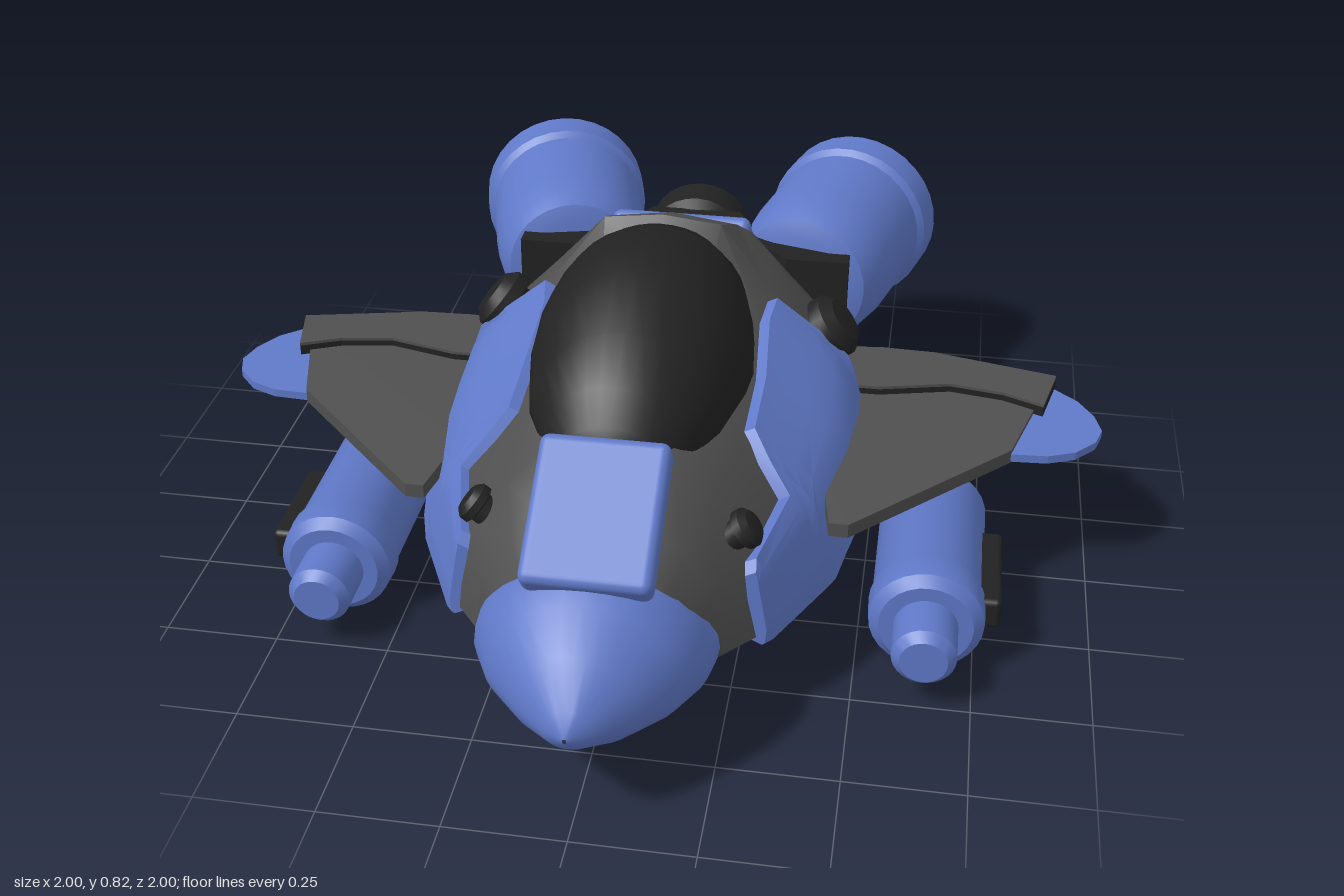
import * as THREE from 'three';
import { toCreasedNormals } from 'three/addons/utils/BufferGeometryUtils.js';
import { RoundedBoxGeometry } from 'three/addons/geometries/RoundedBoxGeometry.js';

const mat = (name, color) => Object.assign(new THREE.MeshStandardMaterial({ color }), { name });

// Surface through rows of points; rows run front to back, points run top to +x to bottom
function grid(rows, crease = 0.6) {
  const n = rows[0].length, idx = [];
  for (let i = 0; i < rows.length - 1; i++)
    for (let j = 0; j < n - 1; j++) {
      const a = i * n + j, b = a + 1, c = a + n, d = c + 1;
      idx.push(a, b, c, b, d, c);
    }
  const g = new THREE.BufferGeometry();
  g.setAttribute('position', new THREE.Float32BufferAttribute(rows.flat(2), 3));
  g.setIndex(idx);
  return toCreasedNormals(g, crease);
}

// Copy of a geometry on the other side, with its winding kept outward
function mirrored(geo) {
  const g = geo.index ? geo.toNonIndexed() : geo.clone();
  for (const key of ['position', 'normal']) {
    const at = g.attributes[key];
    for (let i = 0; i < at.count; i += 3) {
      const p = [0, 2, 1].map(k => [-at.getX(i + k), at.getY(i + k), at.getZ(i + k)]);
      p.forEach((v, k) => at.setXYZ(i + k, ...v));
    }
  }
  return g;
}

// Lathe whose profile of [radius, distance] runs toward the rear
const lathe = (pts, sides = 28) => toCreasedNormals(
  new THREE.LatheGeometry(pts.map(p => new THREE.Vector2(...p)), sides), 0.6).rotateX(-Math.PI / 2);

// Flat plate from [x, z] outline between two heights
function plate(pts, y0, y1) {
  const s = new THREE.Shape(pts.map(([x, z]) => new THREE.Vector2(x, -z)));
  return new THREE.ExtrudeGeometry(s, { depth: y1 - y0, bevelEnabled: false })
    .rotateX(-Math.PI / 2).translate(0, y0, 0);
}

// Hull stations: z, top y, ridge x y, shoulder x y, widest x y, bottom y
const STATIONS = [
  [.79, .43, .06, .42, .11, .39, .13, .30, .25],
  [.66, .52, .10, .51, .17, .46, .25, .22, .14],
  [.52, .59, .12, .58, .21, .49, .35, .20, .12],
  [.30, .60, .14, .59, .23, .51, .44, .20, .10],
  [.10, .62, .14, .61, .245, .52, .48, .21, .10],
  [-.05, .70, .12, .68, .235, .58, .485, .23, .10],
  [-.14, .785, .13, .77, .25, .61, .47, .25, .105],
  [-.28, .725, .15, .705, .27, .58, .42, .30, .13],
  [-.42, .64, .17, .62, .25, .53, .33, .34, .23],
  [-.50, .56, .12, .54, .17, .49, .21, .40, .31],
  [-.53, .46, .03, .455, .05, .44, .06, .42, .39],
];

// Half cross-section of the hull at z, as [x, y] from top to bottom
function section(z) {
  let i = 0;
  while (i < STATIONS.length - 2 && z < STATIONS[i + 1][0]) i++;
  const A = STATIONS[i], B = STATIONS[i + 1], f = (z - A[0]) / (B[0] - A[0]);
  const [, yt, a, ya, b, yb, w, yw, y0] = A.map((v, k) => v + (B[k] - v) * f);
  return [[0, yt], [a, ya], [b, yb], [(b + w) / 2 + w * .1, (yb + yw) / 2 + w * .05],
    [w, yw], [w * .86, yw - (yw - y0) * .35], [w * .45, y0 + (yw - y0) * .15], [0, y0]];
}

function hullGeometry() {
  return grid(STATIONS.map(([z]) => {
    const h = section(z);
    const other = h.slice(0, -1).reverse().map(([x, y]) => [-x, y]);
    return [...h, ...other].map(([x, y]) => [x, y, z]);
  }), 0.75);
}

// Raised side armour following the hull
function sidePanelGeometry() {
  const edge = [[.58, 3], [.56, 2.85], [.37, 2.75], [.33, 2.35], [.28, 2.05], [.1, 1.97],
    [-.05, 1.97], [-.11, 1.97], [-.14, 2.8], [-.19, 3.3]];
  const row = (z, top, lift) => {
    const h = section(z), out = [];
    for (let k = -1; k <= 9; k++) {
      const t = top + (4.25 - top) * Math.min(Math.max(k, 0), 8) / 8;
      const i = Math.floor(t), f = t - i, e = k < 0 || k > 8 ? -.01 : lift;
      const x = h[i][0] + (h[i + 1][0] - h[i][0]) * f, y = h[i][1] + (h[i + 1][1] - h[i][1]) * f;
      out.push([x + e, y + e * .5 * (t < 4 ? 1 : -1), z]);
    }
    return out;
  };
  const first = edge[0], last = edge[edge.length - 1];
  return grid([row(...first, -.01), ...edge.map(([z, t]) => row(z, t, .022)), row(...last, -.01)]);
}

// Loft of ellipses: z, half width, bottom y, widest y, top y
function ovals(list, sides = 32) {
  return grid(list.map(([z, w, lo, mid, hi]) => Array.from({ length: sides + 1 }, (_, j) => {
    const a = j / sides * Math.PI * 2, c = Math.cos(a);
    return [w * Math.sin(a), mid + c * (c > 0 ? hi - mid : mid - lo), z];
  })), 0.8);
}

export function createModel() {
  const blue = mat('blue paint', 0x6079c8), grey = mat('grey hull', 0x505050), black = mat('black trim', 0x222222);
  const model = new THREE.Group();
  model.name = 'spacecraft';
  const add = (name, geo, m) => {
    const mesh = new THREE.Mesh(geo, m);
    mesh.name = name;
    model.add(mesh);
  };
  const pair = (name, geo, m) => {
    add(name + 'Left', geo, m);
    add(name + 'Right', mirrored(geo), m);
  };

  // Fuselage, nose and canopy
  add('hull', hullGeometry(), grey);
  pair('sidePanel', sidePanelGeometry(), blue);
  add('nose', ovals([[1, .004, .25, .255, .26], [.97, .05, .21, .25, .3], [.9, .125, .16, .25, .37],
    [.82, .195, .13, .25, .435], [.74, .235, .11, .25, .46], [.66, .245, .1, .24, .41],
    [.58, .24, .1, .22, .32], [.56, .2, .12, .2, .28], [.55, .01, .19, .2, .21]]), blue);
  add('canopy', ovals([[.525, .06, .52, .55, .6], [.51, .11, .5, .55, .63], [.45, .155, .5, .55, .69],
    [.35, .2, .5, .55, .755], [.2, .232, .5, .55, .815], [.12, .238, .5, .55, .83],
    [.02, .228, .52, .57, .818], [-.06, .2, .55, .62, .795], [-.12, .14, .6, .68, .772], [-.14, .02, .7, .72, .74]]), black);

  // Blue plates ahead of and behind the cockpit
  add('nosePlate', new RoundedBoxGeometry(.26, .07, .31, 3, .02).rotateX(.6).translate(0, .525, .66), blue);
  add('rearPlate', new RoundedBoxGeometry(.33, .07, .2, 3, .02).rotateX(-.72).translate(0, .565, -.48), blue);

  // Wings with rounded tips and thick trailing flaps
  pair('wing', plate([[.4, -.25], [.88, -.25], [.8, .04], [.47, .38], [.43, .38], [.4, .2]], .332, .364), grey);
  pair('wingTip', plate([[.7, -.25], [.9, -.255], [.95, -.21], [.985, -.15], [1, -.09], [.985, -.04],
    [.94, .01], [.88, .035], [.8, .04], [.7, -.02]], .335, .354), blue);
  const flap = [[.36, -.32], [.5, -.335], [.62, -.33], [.9, -.265], [.87, -.13], [.78, -.17], [.66, -.19], [.5, -.15], [.4, -.15]];
  pair('flap', plate(flap, .32, .378), black);
  pair('flapTop', plate(flap, .378, .385), grey);

  // Underwing pods on pylons
  pair('pod', lathe([[0, 0], [.05, 0], [.068, .02], [.068, .12], [.1, .12], [.122, .14], [.125, .2], [.118, .215],
    [.118, .55], [.1, .585], [0, .59]]).translate(.645, .13, .51), blue);
  pair('podBlock', new RoundedBoxGeometry(.12, .07, .26, 2, .012).translate(.74, .135, .205), black);
  const side = new THREE.Shape([[.03, .335], [.03, .27], [-.04, .23], [-.07, .15], [-.13, .12], [-.23, .13],
    [-.26, .2], [-.27, .335]].map(p => new THREE.Vector2(...p)));
  pair('pylon', new THREE.ExtrudeGeometry(side, { depth: .1, bevelEnabled: true, bevelSize: .01, bevelThickness: .025, bevelSegments: 1 })
    .rotateY(-Math.PI / 2).translate(.7, 0, 0), black);

  // Engines flared outward, with open nozzles and inner spikes
  pair('engine', lathe([[0, 0], [.12, 0], [.16, .015], [.18, .06], [.19, .14], [.193, .35], [.207, .365], [.207, .45],
    [.185, .452], [.175, .38], [.165, .27], [.11, .26], [.09, .34], [.055, .4], [.045, .45], [.025, .475], [0, .48]], 32)
    .rotateY(-.253).translate(.28, .445, -.515), blue);
  add('engineBracket', plate([[.4, -.45], [.4, -.52], [.24, -.53], [.16, -.6], [.11, -.69], [-.11, -.69], [-.16, -.6],
    [-.24, -.53], [-.4, -.52], [-.4, -.45], [-.25, -.45], [-.12, -.58], [.12, -.58], [.25, -.45]], .36, .54), black);
  add('tailThruster', lathe([[0, 0], [.08, 0], [.09, .07], [.125, .09], [.13, .17], [.11, .2], [.08, .21],
    [.065, .27], [.035, .315], [0, .32]]).translate(0, .44, -.61), black);

  // Round knobs standing out from the hull
  const knob = (size, x, y, z) => toCreasedNormals(new THREE.LatheGeometry(
    [[0, -.8], [.75, -.8], [.75, 0], [1, .1], [1, .5], [.7, .8], [0, .9]].map(([r, h]) => new THREE.Vector2(r * size, h * size)), 16), 0.6)
    .rotateZ(-.9).translate(x, y, z);
  pair('largeKnob', knob(.075, .365, .49, -.2), black);
  pair('smallKnob', knob(.042, .265, .43, .53), black);

  return model;
}
